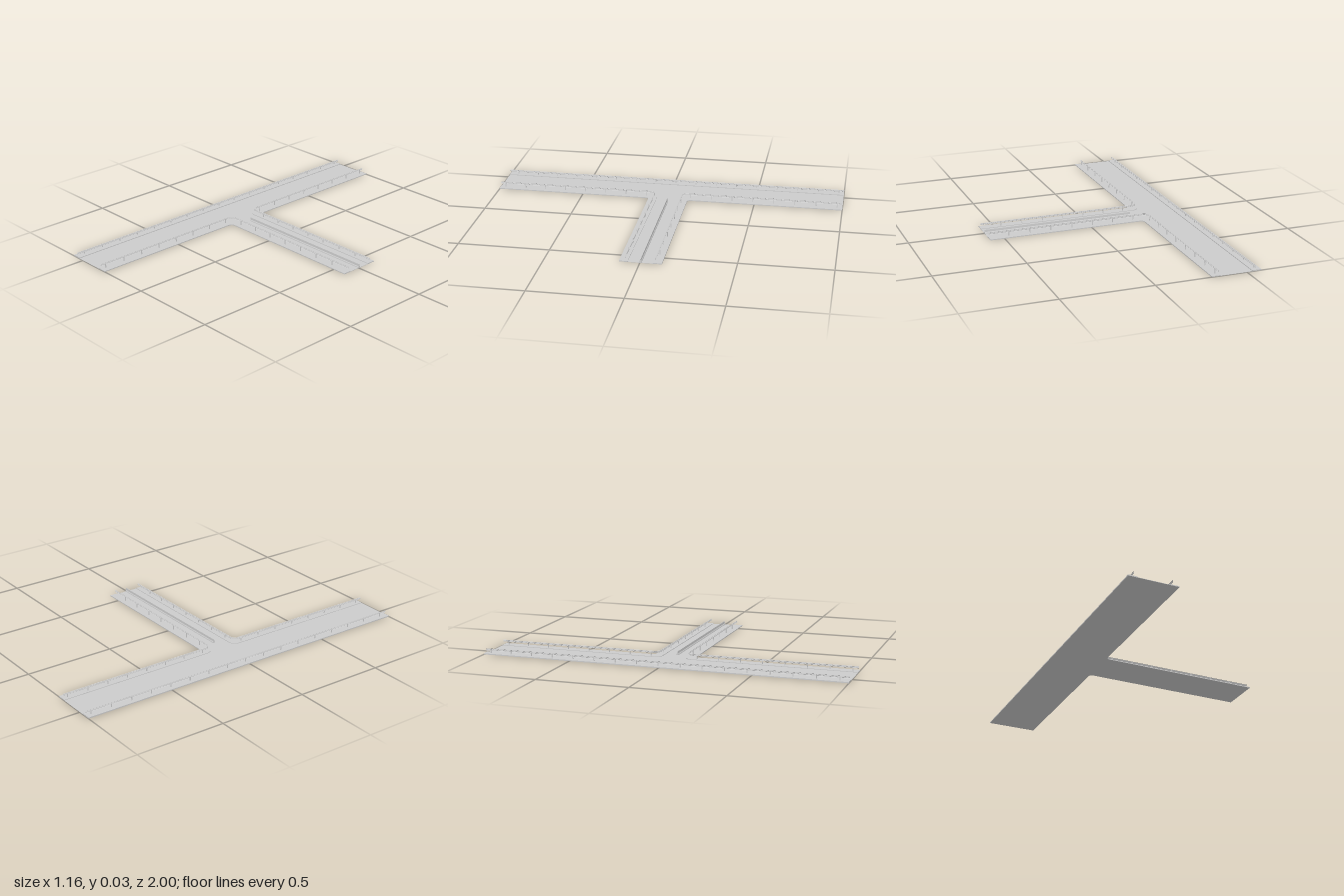
import * as THREE from 'three';

const MID = -0.003; // z of the side road's centre line
const material = new THREE.MeshStandardMaterial({ color: 0xcccccc, side: THREE.DoubleSide, flatShading: true });

function add(parent, name, geometry) {
  const mesh = new THREE.Mesh(geometry, material);
  mesh.name = name;
  parent.add(mesh);
  return mesh;
}

// Path [x, z] along the main road, round the corner and out along the side road
function cornerPath(x, d, r, s) {
  const points = [[x, s]];
  for (let i = 0; i <= 6; i++) {
    const a = (i / 6) * Math.PI / 2;
    points.push([x + r - r * Math.cos(a), MID + s * (d + r - r * Math.sin(a))]);
  }
  points.push([0.58, MID + s * d]);
  return points;
}

// Flat slab from a ground outline of [x, z] points
function slab(outline, y, thickness) {
  const shape = new THREE.Shape(outline.map(([x, z]) => new THREE.Vector2(x, -z)));
  const geometry = new THREE.ExtrudeGeometry(shape, { depth: thickness, bevelEnabled: false });
  return geometry.rotateX(-Math.PI / 2).translate(0, y, 0);
}

// Sweep an open profile of [offset, y] along a ground path
function sweep(path, profile, sign) {
  const position = [], index = [], n = profile.length;
  path.forEach((p, i) => {
    const a = path[Math.max(i - 1, 0)], b = path[Math.min(i + 1, path.length - 1)];
    const unit = (u, v) => {
      const l = Math.hypot(v[0] - u[0], v[1] - u[1]) || 1;
      return [(v[0] - u[0]) / l, (v[1] - u[1]) / l];
    };
    const t1 = unit(a, p), t2 = unit(p, b);
    const tx = t1[0] + t2[0], tz = t1[1] + t2[1], l = Math.hypot(tx, tz);
    for (const [o, y] of profile) {
      position.push(p[0] - sign * o * tz / l, y, p[1] + sign * o * tx / l);
    }
    if (i < path.length - 1) {
      for (let j = 0; j < n - 1; j++) {
        const k = i * n + j;
        index.push(k, k + 1, k + n, k + 1, k + n + 1, k + n);
      }
    }
  });
  const geometry = new THREE.BufferGeometry();
  geometry.setAttribute('position', new THREE.Float32BufferAttribute(position, 3));
  geometry.setIndex(index);
  geometry.computeVertexNormals();
  return geometry;
}

// Corrugated rail with evenly spaced posts on its outer side
function guardrail(name, path, sign, top) {
  const group = new THREE.Group();
  group.name = name;
  const profile = [
    [0, 0], [0.003, -0.0015], [0.003, -0.0035], [0, -0.005],
    [0, -0.006], [0.003, -0.0075], [0.003, -0.0095], [0, -0.011],
  ].map(([o, y]) => [o, top + y]);
  add(group, 'rail', sweep(path, profile, sign));
  let next = 0.03, walked = 0;
  for (let i = 0; i < path.length - 1; i++) {
    const [a, b] = [path[i], path[i + 1]];
    const dx = b[0] - a[0], dz = b[1] - a[1], length = Math.hypot(dx, dz);
    for (; next < walked + length; next += 0.12) {
      const f = (next - walked) / length;
      const nx = -sign * dz / length, nz = sign * dx / length;
      const post = add(group, 'post', new THREE.BoxGeometry(0.004, top - 0.005, 0.004));
      post.position.set(a[0] + dx * f - nx * 0.003, (top + 0.001) / 2, a[1] + dz * f - nz * 0.003);
      post.rotation.y = -Math.atan2(dz, dx);
    }
    walked += length;
  }
  return group;
}

export function createModel() {
  const model = new THREE.Group();
  model.name = 'roadJunction';

  // Road surface, one T-shaped slab with rounded inner corners
  const backEdge = cornerPath(-0.305, 0.113, 0.02, -1);
  const frontEdge = cornerPath(-0.305, 0.113, 0.02, 1);
  add(model, 'roadSurface', slab([[-0.58, -1], ...backEdge, ...frontEdge.slice().reverse(), [-0.58, 1]], 0, 0.002));

  // Far shoulder and its guardrail
  add(model, 'farShoulder', slab([[-0.58, -1], [-0.53, -1], [-0.53, 1], [-0.58, 1]], 0.002, 0.004));
  model.add(guardrail('farGuardrail', [[-0.552, -1], [-0.552, 1]], -1, 0.028));

  // Shoulders and guardrails turning into the side road
  for (const s of [-1, 1]) {
    const label = s < 0 ? 'back' : 'front';
    const inner = cornerPath(-0.355, 0.067, 0.04, s);
    const outer = s < 0 ? backEdge : frontEdge;
    add(model, label + 'Shoulder', slab([...inner, ...outer.slice().reverse()], 0.002, 0.003));
    model.add(guardrail(label + 'Guardrail', cornerPath(-0.34, 0.081, 0.03, s), -s, 0.032));
  }

  // Median barrier along the side road
  const section = new THREE.Shape([
    [-0.007, 0], [0.007, 0], [0.006, 0.005], [0.003, 0.009],
    [0.002, 0.021], [-0.002, 0.021], [-0.003, 0.009], [-0.006, 0.005],
  ].map(([x, y]) => new THREE.Vector2(x, y)));
  const barrier = new THREE.ExtrudeGeometry(section, { depth: 0.85, bevelEnabled: false });
  add(model, 'medianBarrier', barrier.rotateY(Math.PI / 2).translate(-0.27, 0.001, MID));

  return model;
}
